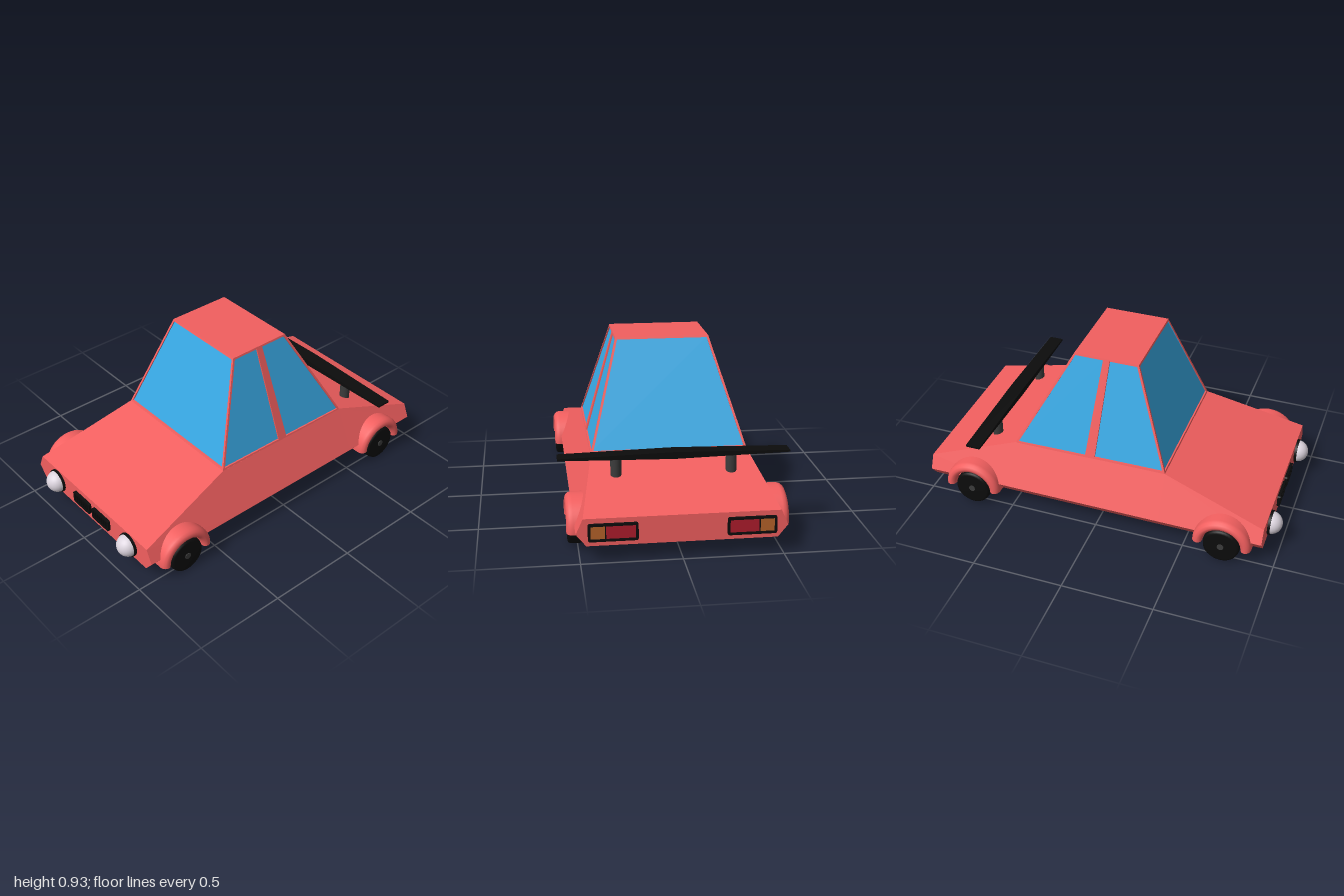
import * as THREE from 'three';

const mat = (color, extra = {}) => {
  const m = new THREE.MeshStandardMaterial(extra);
  m.color.set(color);
  return m;
};
const paint = mat(0xf25f5f, { side: THREE.DoubleSide });
const glass = mat(0x38a9e4);
const black = mat(0x0c0c0c);
const darkGrey = mat(0x3c3c3c);
const lamp = mat(0xdcd4de);
const red = mat(0xb01c2c);
const orange = mat(0xb8642a);

const V = (x, y) => new THREE.Vector2(x, y);
const poly = (pts) => new THREE.Shape(pts.map(([x, y]) => V(x, y)));
const rect = (x0, y0, x1, y1) => poly([[x0, y0], [x1, y0], [x1, y1], [x0, y1]]);

function roundRect(x0, y0, x1, y1, r) {
  const s = new THREE.Shape();
  s.absarc(x1 - r, y0 + r, r, -Math.PI / 2, 0);
  s.absarc(x1 - r, y1 - r, r, 0, Math.PI / 2);
  s.absarc(x0 + r, y1 - r, r, Math.PI / 2, Math.PI);
  s.absarc(x0 + r, y0 + r, r, Math.PI, Math.PI * 1.5);
  s.closePath();
  return s;
}

function add(parent, name, geo, material, x = 0, y = 0, z = 0) {
  const mesh = new THREE.Mesh(geo, material);
  mesh.name = name;
  mesh.position.set(x, y, z);
  parent.add(mesh);
  return mesh;
}

const extrude = (shape, depth) =>
  new THREE.ExtrudeGeometry(shape, { depth, bevelEnabled: false, curveSegments: 4 });

// Wedge hull: six-sided sections lofted along z
function hullGeometry() {
  const stations = [[0.93, 0.485, 0.225], [0.365, 0.41, 0.387], [-0.495, 0.41, 0.382], [-0.985, 0.485, 0.225]];
  const rings = stations.map(([z, xt, yt]) =>
    [[-0.47, 0.085], [0.47, 0.085], [0.52, 0.147], [xt, yt], [-xt, yt], [-0.52, 0.147]]
      .map(([x, y]) => [x, y, z]));
  const pos = [];
  const tri = (a, b, c) => pos.push(...a, ...b, ...c);
  for (let s = 0; s < 3; s++) {
    for (let i = 0; i < 6; i++) {
      const j = (i + 1) % 6, A = rings[s], B = rings[s + 1];
      tri(A[i], B[i], A[j]);
      tri(A[j], B[i], B[j]);
    }
  }
  for (let i = 1; i < 5; i++) {
    tri(rings[0][0], rings[0][i], rings[0][i + 1]);
    tri(rings[3][0], rings[3][i + 1], rings[3][i]);
  }
  const g = new THREE.BufferGeometry();
  g.setAttribute('position', new THREE.Float32BufferAttribute(pos, 3));
  g.computeVertexNormals();
  return g;
}

// Cabin wall: extruded sheet leaning from a base offset to a roof offset, turned to its side
function wall(shape, depth, recess, base, top, angle) {
  const g = extrude(shape, depth);
  const p = g.attributes.position;
  for (let i = 0; i < p.count; i++) {
    const t = (p.getY(i) - 0.385) / 0.545;
    p.setZ(i, p.getZ(i) - depth - recess + base + (top - base) * t);
  }
  g.computeVertexNormals();
  return g.rotateY(angle);
}

function cabin() {
  const g = new THREE.Group();
  g.name = 'cabin';
  const end = [[-0.41, 0.385], [0.41, 0.385], [0.25, 0.93], [-0.25, 0.93]];
  const endPane = [[-0.4, 0.396], [0.4, 0.396], [0.242, 0.92], [-0.242, 0.92]];
  const side = [[0.365, 0.385], [-0.495, 0.38], [-0.2, 0.93], [0.16, 0.93]];
  const frontPane = [[0.352, 0.397], [-0.035, 0.394], [0, 0.92], [0.162, 0.92]];
  const rearPane = [[-0.09, 0.392], [-0.482, 0.387], [-0.192, 0.92], [-0.037, 0.92]];
  const flip = (pts) => pts.map(([a, b]) => [-a, b]);
  const walls = [
    ['front', end, [endPane], 0.365, 0.16, 0],
    ['back', end, [endPane], 0.495, 0.2, Math.PI],
    ['left', flip(side), [flip(frontPane), flip(rearPane)], 0.41, 0.25, Math.PI / 2],
    ['right', side, [frontPane, rearPane], 0.41, 0.25, -Math.PI / 2],
  ];
  for (const [name, outline, panes, base, top, angle] of walls) {
    const frame = poly(outline);
    frame.holes = panes.map(poly);
    add(g, name + 'WindowFrame', wall(frame, 0.012, 0, base, top, angle), paint);
    for (const pane of panes)
      add(g, name + 'Window', wall(poly(pane), 0.003, 0.008, base, top, angle), glass);
  }
  add(g, 'roof', new THREE.BoxGeometry(0.496, 0.01, 0.356), paint, 0, 0.925, -0.02);
  return g;
}

// Wheel with rounded tyre, hub and arched fender, facing +x
function wheelUnit() {
  const g = new THREE.Group();
  const tyre = [[0, 0.47], [0.085, 0.47], [0.096, 0.475], [0.1, 0.488], [0.1, 0.532], [0.096, 0.545], [0.085, 0.55], [0, 0.55]];
  add(g, 'tyre', new THREE.LatheGeometry(tyre.map((p) => V(...p)), 32).rotateZ(-Math.PI / 2), black);
  add(g, 'hub', new THREE.CylinderGeometry(0.018, 0.018, 0.01, 16).rotateZ(-Math.PI / 2), darkGrey, 0.549);

  const profile = [[0.16, 0.44], [0.16, 0.525], [0.156, 0.541], [0.146, 0.553], [0.132, 0.559],
    [0.118, 0.556], [0.108, 0.545], [0.105, 0.53], [0.105, 0.44]];
  add(g, 'fender', new THREE.LatheGeometry(profile.map((p) => V(...p)), 24, Math.PI, Math.PI)
    .rotateZ(-Math.PI / 2), paint);
  for (const s of [1, -1]) {
    const cap = new THREE.ShapeGeometry(poly(profile)).rotateX(-Math.PI / 2).rotateY(-Math.PI / 2);
    add(g, 'fenderEnd', cap, paint).rotation.y = s > 0 ? 0 : Math.PI;
    if (s < 0) {
      cap.scale(-1, 1, 1);
    }
  }
  return g;
}

export function createModel() {
  const car = new THREE.Group();
  car.name = 'car';
  add(car, 'body', hullGeometry(), paint);
  car.add(cabin());

  for (const s of [1, -1]) {
    // Wheels
    for (const z of [0.72, -0.72]) {
      const w = wheelUnit();
      w.name = (z > 0 ? 'front' : 'rear') + 'Wheel';
      w.position.set(0, 0.1, z);
      w.rotation.y = s > 0 ? 0 : Math.PI;
      car.add(w);
    }

    // Headlights
    add(car, 'headlightRing', new THREE.CylinderGeometry(0.067, 0.067, 0.02, 32).rotateX(Math.PI / 2),
      black, s * 0.33, 0.153, 0.934);
    add(car, 'headlight', new THREE.SphereGeometry(0.062, 24, 16), lamp, s * 0.33, 0.153, 0.938);

    // Slotted grille
    const grille = roundRect(-0.075, -0.035, 0.075, 0.035, 0.012);
    for (let i = 0; i < 7; i++) {
      const x = (i - 3) * 0.0185;
      grille.holes.push(rect(x - 0.0062, -0.023, x + 0.0062, 0.023));
    }
    add(car, 'grille', extrude(grille, 0.02), black, s * 0.087, 0.159, 0.925);

    // Tail lights, amber on the outside
    const frame = roundRect(-0.122, -0.045, 0.122, 0.045, 0.01);
    frame.holes.push(rect(-0.11, -0.033, 0.11, 0.033));
    add(car, 'tailLightFrame', extrude(frame, 0.02), black, s * 0.34, 0.155, -0.999);
    add(car, 'brakeLight', new THREE.BoxGeometry(0.145, 0.066, 0.02), red, s * 0.3025, 0.155, -0.983);
    add(car, 'turnSignal', new THREE.BoxGeometry(0.072, 0.066, 0.02), orange, s * 0.414, 0.155, -0.983);
    add(car, 'lightDivider', new THREE.BoxGeometry(0.006, 0.066, 0.02), black, s * 0.377, 0.155, -0.985);

    // Spoiler posts
    add(car, 'spoilerPost', new THREE.CylinderGeometry(0.028, 0.028, 0.13, 20), darkGrey, s * 0.295, 0.362, -0.66);
  }

  // Spoiler wing, thinning toward the tips
  const wing = poly([[-0.59, -0.005], [0, -0.018], [0.59, -0.005], [0.59, 0.005], [0, 0.018], [-0.59, 0.005]]);
  add(car, 'spoilerWing', extrude(wing, 0.08), black, 0, 0.431, -0.708);
  return car;
}
